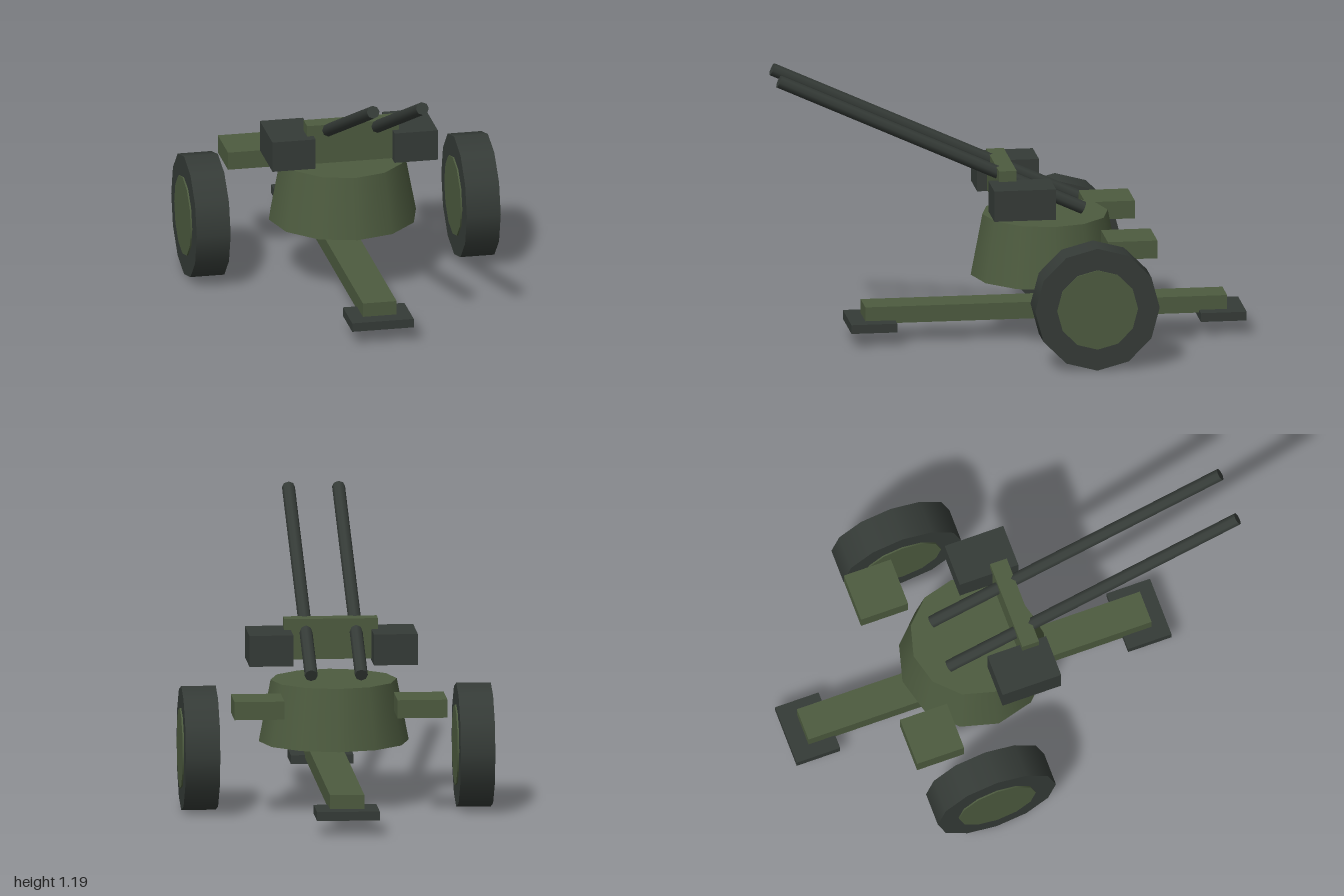
import * as THREE from 'three';

export function createModel() {
  const model = new THREE.Group();
  const green = new THREE.MeshStandardMaterial({ color: 0x4d5b3f });
  green.name = 'olive green';
  const dark = new THREE.MeshStandardMaterial({ color: 0x353b37 });
  dark.name = 'gunmetal';

  function add(name, geometry, material, x, y, z) {
    const mesh = new THREE.Mesh(geometry, material);
    mesh.name = name;
    mesh.position.set(x, y, z);
    model.add(mesh);
    return mesh;
  }
  const box = (name, material, w, h, d, x, y, z) =>
    add(name, new THREE.BoxGeometry(w, h, d), material, x, y, z);

  // Carriage beam with a ground pad at each end
  box('carriageBeam', green, 0.145, 0.072, 1.54, 0, 0.124, -0.155);
  box('frontPad', dark, 0.265, 0.038, 0.195, 0, 0.081, 0.585);
  box('rearPad', dark, 0.265, 0.038, 0.195, 0, 0.081, -0.9025);

  // Tapered twelve-sided turret base
  add('turretBase', new THREE.CylinderGeometry(0.267, 0.317, 0.262, 12), green, 0, 0.4, -0.16);

  // Gun cradle joining the two barrels
  box('gunCradle', green, 0.396, 0.172, 0.075, 0, 0.678, 0.026);

  // Barrel axis runs from breech to muzzle
  const breech = new THREE.Vector3(0, 0.57, -0.308);
  const muzzle = new THREE.Vector3(0, 1.165, 0.988);
  const axis = muzzle.clone().sub(breech);
  const middle = breech.clone().add(muzzle).multiplyScalar(0.5);
  const barrel = new THREE.CylinderGeometry(0.0275, 0.0275, axis.length(), 8);
  const tilt = Math.atan2(axis.z, axis.y);

  // Paired parts on both sides
  for (const [side, s] of [['left', 1], ['right', -1]]) {
    add(side + 'Barrel', barrel, dark, s * 0.106, middle.y, middle.z).rotation.x = tilt;
    box(side + 'AmmoBox', dark, 0.186, 0.132, 0.263, s * 0.263, 0.652, -0.026);
    box(side + 'Seat', green, 0.211, 0.077, 0.211, s * 0.3445, 0.466, -0.47);

    const tyre = new THREE.CylinderGeometry(0.265, 0.265, 0.146, 12).rotateZ(Math.PI / 2);
    const hub = new THREE.CylinderGeometry(0.172, 0.172, 0.159, 12).rotateZ(Math.PI / 2);
    add(side + 'Tyre', tyre, dark, s * 0.5815, 0.265, -0.292);
    add(side + 'Hub', hub, green, s * 0.5815, 0.265, -0.292);
  }
  return model;
}
